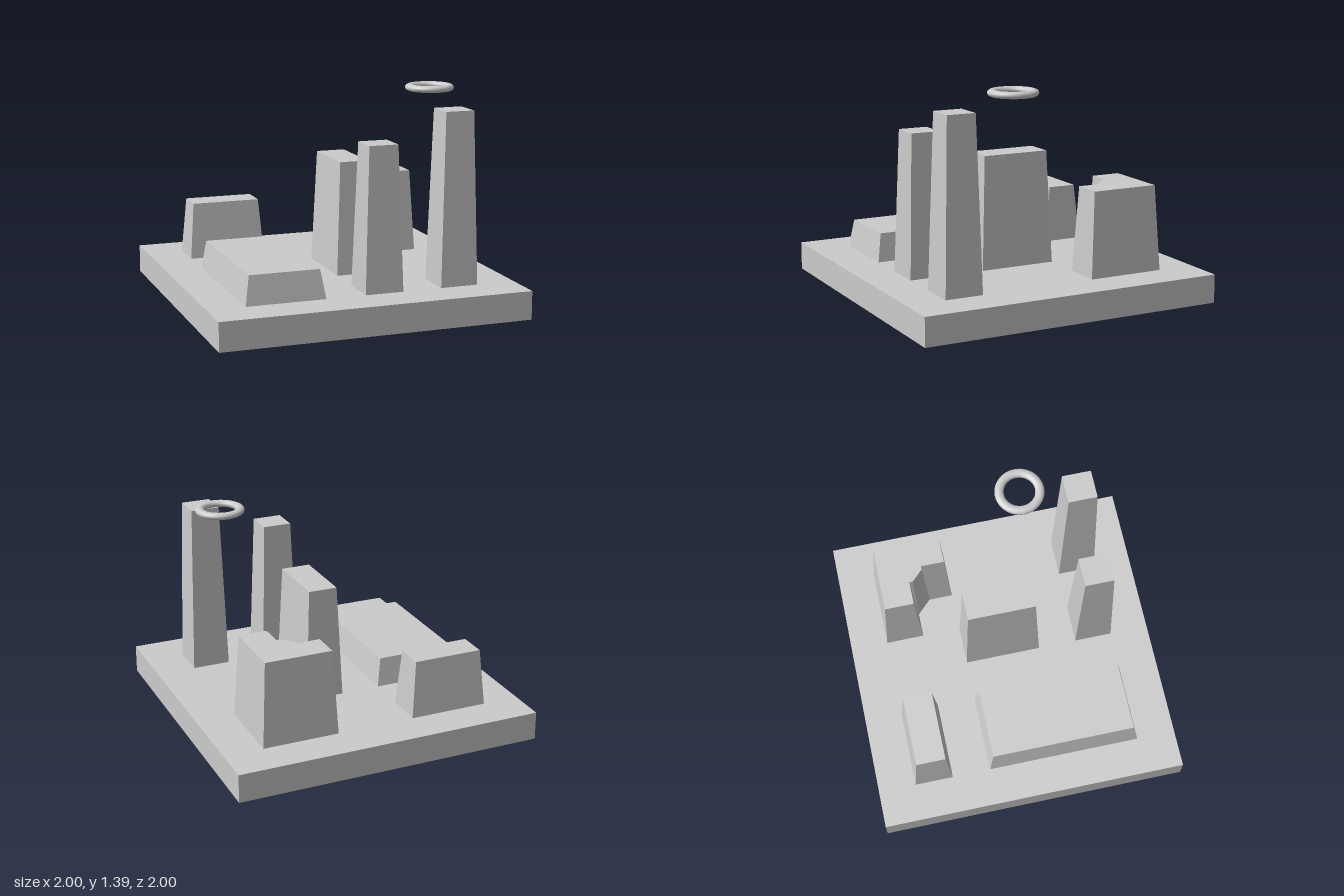
import * as THREE from 'three';

const GROUND = 0.183;
const INSET = 0.03;
const material = new THREE.MeshStandardMaterial({ color: 0xcccccc, flatShading: true });
const smoothMaterial = new THREE.MeshStandardMaterial({ color: 0xcccccc });

// Tapered block between two outlines of [x, z], listed clockwise from above
function taperedBlock(name, base, top, height) {
  const pos = [];
  const low = base.map(([x, z]) => [x, GROUND, z]);
  const high = top.map(([x, z]) => [x, height, z]);
  const tri = (...corners) => corners.forEach((c) => pos.push(...c));

  low.forEach((b0, i) => {
    const j = (i + 1) % low.length;
    tri(b0, high[i], high[j]);
    tri(b0, high[j], low[j]);
  });
  const roof = top.map(([x, z]) => new THREE.Vector2(x, z));
  for (const [a, b, c] of THREE.ShapeUtils.triangulateShape(roof, [])) {
    tri(high[a], high[c], high[b]);
  }

  const geometry = new THREE.BufferGeometry();
  geometry.setAttribute('position', new THREE.Float32BufferAttribute(pos, 3));
  geometry.computeVertexNormals();
  const mesh = new THREE.Mesh(geometry, material);
  mesh.name = name;
  return mesh;
}

const rectangle = (x0, x1, z0, z1) => [[x0, z0], [x1, z0], [x1, z1], [x0, z1]];

export function createModel() {
  const model = new THREE.Group();
  model.name = 'cityBlock';

  // Ground slab
  const slab = new THREE.Mesh(new THREE.BoxGeometry(2, GROUND, 2), material);
  slab.name = 'groundSlab';
  slab.position.y = GROUND / 2;
  model.add(slab);

  // Rectangular buildings: name, x range, z range, roof height
  const buildings = [
    ['longLowBuilding', -0.762, -0.254, -0.254, 0.747, 0.366],
    ['backBuilding', -0.762, -0.254, -0.755, -0.505, 0.55],
    ['middleBuilding', 0, 0.248, -0.254, 0.247, 0.913],
    ['frontTower', 0, 0.248, 0.5, 0.747, 1.096],
    ['tallTower', 0.501, 0.747, 0.5, 0.747, 1.278],
  ];
  for (const [name, x0, x1, z0, z1, height] of buildings) {
    const base = rectangle(x0, x1, z0, z1);
    const top = rectangle(x0 + INSET, x1 - INSET, z0 + INSET, z1 - INSET);
    model.add(taperedBlock(name, base, top, height));
  }

  // L-shaped building with a slanted inner corner
  model.add(taperedBlock('cornerBuilding',
    [[0.252, -0.755], [0.747, -0.755], [0.747, -0.256], [0.501, -0.256],
      [0.501, -0.41], [0.5, -0.415], [0.41, -0.505], [0.405, -0.505], [0.252, -0.505]],
    [[0.282, -0.725], [0.717, -0.725], [0.717, -0.286], [0.53, -0.286],
      [0.53, -0.44], [0.507, -0.44], [0.435, -0.512], [0.435, -0.535], [0.282, -0.535]],
    0.73));

  // Flattened floating ring
  const ring = new THREE.Mesh(new THREE.TorusGeometry(0.127, 0.029, 16, 48).rotateX(Math.PI / 2), smoothMaterial);
  ring.name = 'floatingRing';
  ring.scale.y = 0.76;
  ring.position.set(0.628, 1.367, 0.236);
  model.add(ring);

  return model;
}
